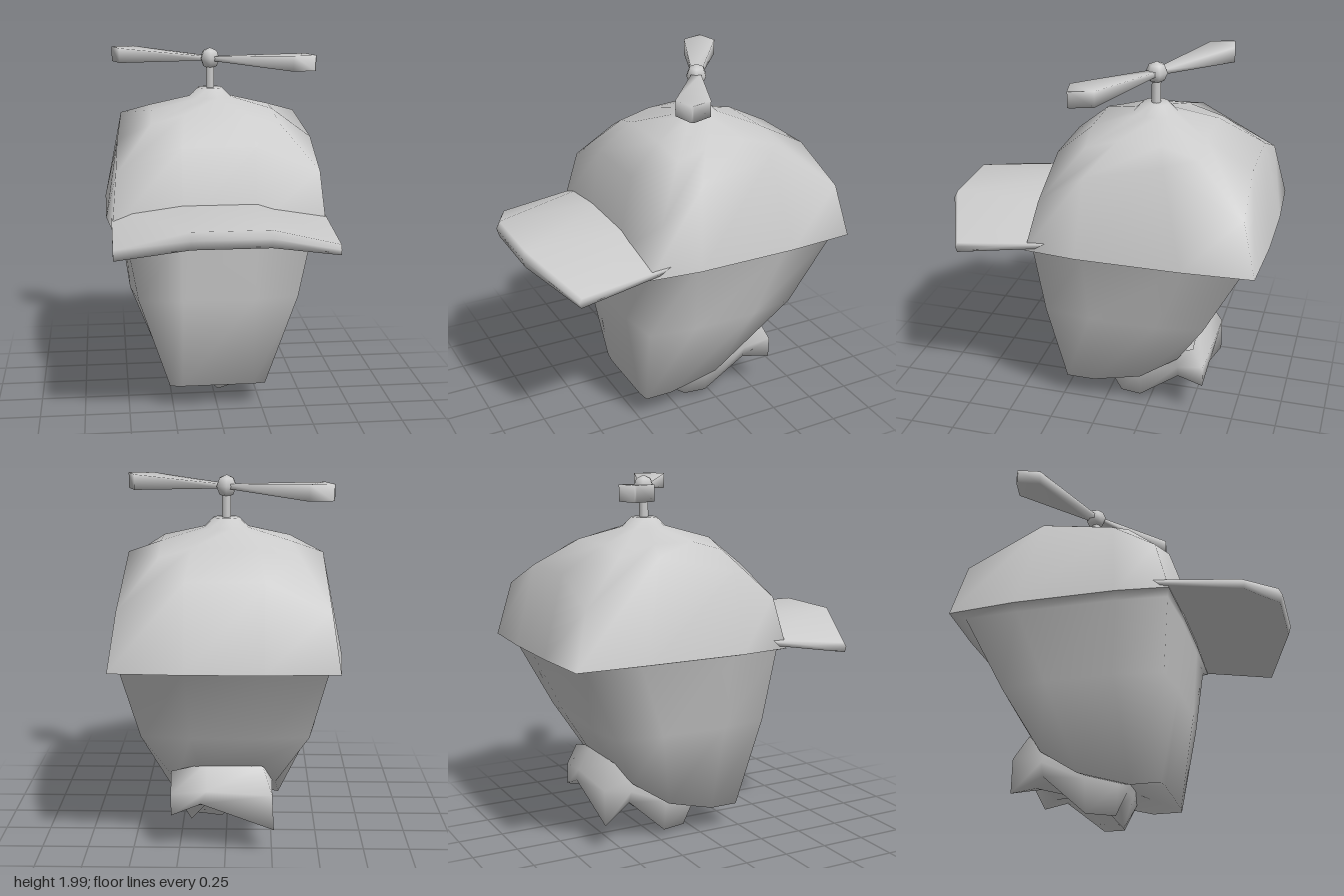
import * as THREE from 'three';

// Skin closed cross-sections (each a loop of [x, y, z]) into one smooth surface
function loft(rings, capStart = true, capEnd = true) {
  const n = rings[0].length, pos = rings.flat(2), idx = [];
  for (let i = 0; i < rings.length - 1; i++) {
    for (let j = 0; j < n; j++) {
      const k = (j + 1) % n;
      const a = i * n + j, b = i * n + k, c = a + n, d = b + n;
      idx.push(a, b, d, a, d, c);
    }
  }
  const cap = (r, flip) => {
    const centre = pos.length / 3;
    for (let c = 0; c < 3; c++) pos.push(rings[r].reduce((s, p) => s + p[c], 0) / n);
    for (let j = 0; j < n; j++) {
      const a = r * n + j, b = r * n + (j + 1) % n;
      idx.push(centre, flip ? b : a, flip ? a : b);
    }
  };
  if (capStart) cap(0, true);
  if (capEnd) cap(rings.length - 1, false);
  const g = new THREE.BufferGeometry();
  g.setAttribute('position', new THREE.Float32BufferAttribute(pos, 3));
  g.setIndex(idx);
  g.computeVertexNormals();
  return g;
}

// Complete a ring from its +x half, listed front to back
const mirrorRing = (half) => [...half, ...half.map(([x, y, z]) => [-x, y, z]).reverse()];

// Half of a small round ring centred on the cap's crown
const roundHalf = (r, y) => [15, 45, 75, 105, 135, 165].map((deg) => {
  const t = THREE.MathUtils.degToRad(deg);
  return [r * Math.sin(t), y, -0.22 + r * Math.cos(t)];
});

export function createModel() {
  const model = new THREE.Group();
  const grey = new THREE.MeshStandardMaterial({ color: 0xcccccc });
  const greyOpen = new THREE.MeshStandardMaterial({ color: 0xcccccc, side: THREE.DoubleSide });
  const add = (name, geometry, parent = model, material = grey) => {
    const mesh = new THREE.Mesh(geometry, material);
    mesh.name = name;
    parent.add(mesh);
    return mesh;
  };

  // Lower edge of the cap, shared with the top of the head
  const rim = [[0.2, 1.1, 0.35], [0.575, 1.1, 0.34], [0.605, 1.1, 0.06], [0.605, 1.1, -0.5], [0.575, 1.095, -0.875], [0.2, 1.095, -0.895]];

  // Head: flares out to the rim, tapers to the chin, underside rising to the back
  add('head', loft([
    [[0.2, 0.15, 0.23], [0.27, 0.15, 0.22], [0.27, 0.15, 0.06], [0.29, 0.23, -0.22], [0.27, 0.37, -0.43], [0.14, 0.49, -0.52]],
    [[0.2, 0.68, 0.31], [0.44, 0.68, 0.28], [0.48, 0.68, 0.02], [0.48, 0.68, -0.35], [0.44, 0.68, -0.6], [0.18, 0.68, -0.63]],
    [[0.2, 1.08, 0.34], [0.51, 1.08, 0.32], [0.535, 1.08, 0.04], [0.535, 1.08, -0.5], [0.52, 1.08, -0.8], [0.2, 1.08, -0.825]],
    rim,
  ].map(mirrorRing), true, false));

  // Cap: rim, shoulder dipping at the corners, crown, then the raised button
  add('cap', loft([
    rim,
    [[0.2, 1.52, 0.27], [0.55, 1.38, 0.265], [0.535, 1.53, 0.03], [0.505, 1.62, -0.38], [0.53, 1.39, -0.8], [0.2, 1.53, -0.785]],
    [[0.17, 1.67, 0.09], [0.35, 1.62, 0.07], [0.34, 1.67, -0.1], [0.34, 1.67, -0.33], [0.34, 1.61, -0.53], [0.17, 1.66, -0.53]],
    roundHalf(0.12, 1.73),
    roundHalf(0.07, 1.78),
  ].map(mirrorRing), false, true), model, greyOpen);

  // Brim: arched sheet, drooping and set back at both sides
  const middle = [[1.22, 0.2], [1.22, 0.87], [1.18, 0.89], [1.13, 0.875], [1.13, 0.2]];
  const edge = [[1.17, 0.1], [1.095, 0.72], [1.07, 0.735], [1.04, 0.725], [1.15, 0.1]];
  const section = (x, profile) => profile.map(([y, z]) => [x, y, z]);
  add('brim', loft([
    section(-0.578, edge), section(-0.2, middle), section(0.2, middle), section(0.578, edge),
  ]));

  // Neck: stub with a torn lower edge around a shallow hollow
  const torn = [[0.03, 0.01, -0.05], [0.17, 0.04, -0.08], [0.2, 0.05, -0.2], [0.24, 0.24, -0.43], [0.29, 0.23, -0.58],
    [0.13, 0.3, -0.59], [-0.26, 0.155, -0.59], [-0.22, 0.25, -0.43], [-0.19, 0.04, -0.2], [-0.14, 0.03, -0.05], [-0.08, 0.11, -0.04]];
  add('tornNeck', loft([
    torn.map(([x, y, z]) => [x * 0.6, y * 0.5 + 0.13, -0.33 + (z + 0.33) * 0.6]),
    torn,
    [[0.04, 0.18, 0], [0.2, 0.18, -0.02], [0.23, 0.22, -0.2], [0.26, 0.31, -0.43], [0.29, 0.35, -0.58],
      [0.1, 0.37, -0.59], [-0.25, 0.35, -0.59], [-0.25, 0.32, -0.43], [-0.22, 0.22, -0.2], [-0.2, 0.18, -0.02], [-0.08, 0.18, 0]],
    [[0.04, 0.25, 0.02], [0.18, 0.25, 0], [0.22, 0.3, -0.18], [0.25, 0.4, -0.38], [0.29, 0.46, -0.52],
      [0.1, 0.5, -0.51], [-0.2, 0.49, -0.52], [-0.25, 0.4, -0.38], [-0.22, 0.3, -0.18], [-0.18, 0.25, 0], [-0.08, 0.25, 0.02]],
  ], true, false), model, greyOpen);

  // Propeller: post, hub and two blades half a turn apart
  const propeller = new THREE.Group();
  propeller.name = 'propeller';
  propeller.position.set(0, 1.943, -0.22);
  propeller.rotation.y = -Math.PI / 6;
  model.add(propeller);
  add('post', new THREE.CylinderGeometry(0.025, 0.025, 0.2, 8), propeller).position.y = -0.1;
  add('hub', new THREE.SphereGeometry(0.06, 6, 4), propeller);
  const bladeSection = (l, w, h) => [[l, h, -w], [l, h, w], [l, -h, w], [l, -h, -w]];
  const bladeGeometry = loft([
    bladeSection(0.02, 0.025, 0.012), bladeSection(0.535, 0.088, 0.042), bladeSection(0.63, 0.006, 0.042),
  ]);
  for (const turn of [0, Math.PI]) add('blade', bladeGeometry, propeller).rotation.y = turn;

  return model;
}
